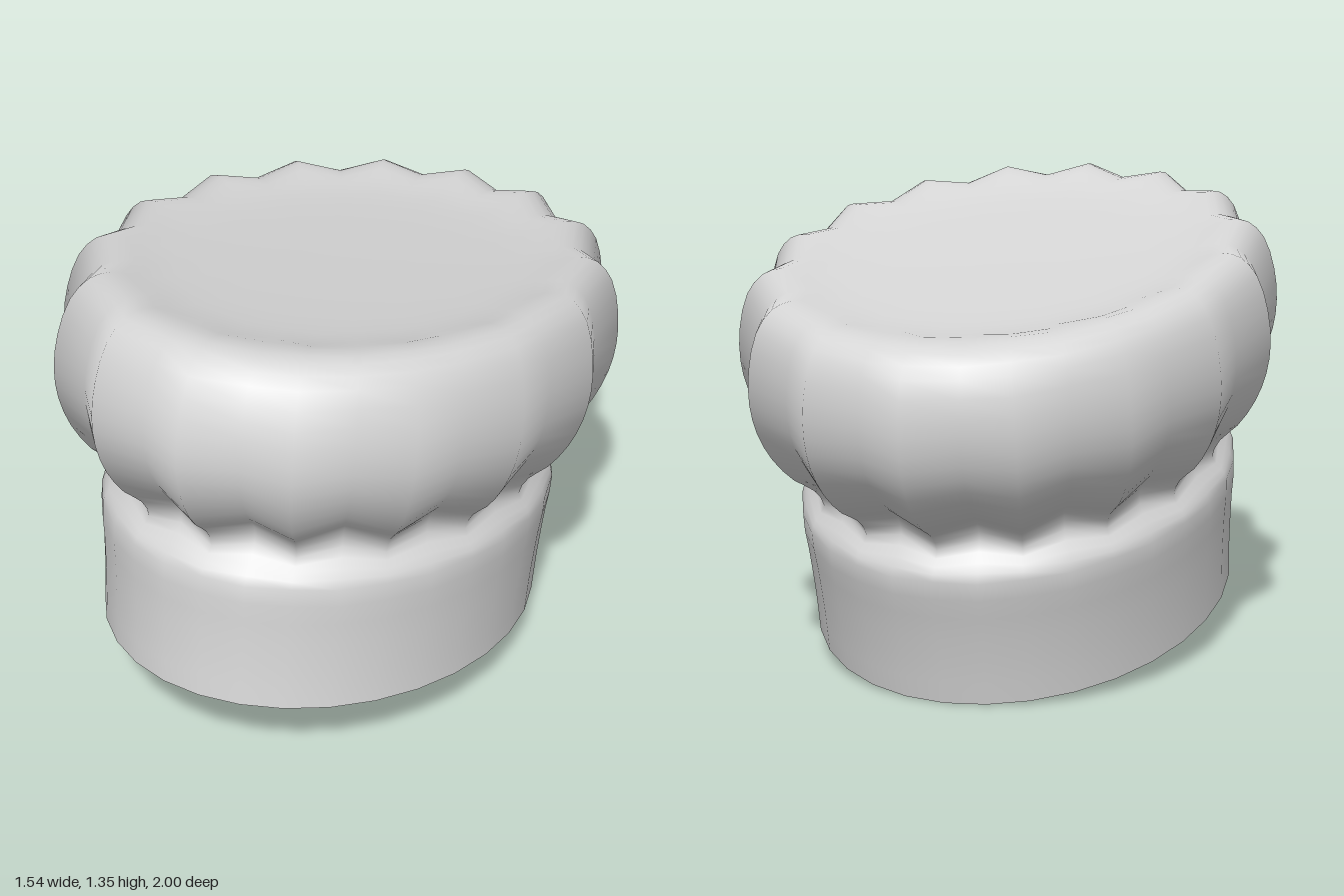
import * as THREE from 'three';

const FLUTES = 16;
const SEGMENTS = FLUTES * 2;
const WIDTH = 0.764; // sideways squash of the oval plan
const TILT = -0.1693;

// Profiles as [radius, height]: along the flute crests and along the grooves between them
const CREST = [
  [0.80, 0], [0.805, 0.13], [0.817, 0.27], [0.828, 0.385], [0.808, 0.42], [0.774, 0.455],
  [0.806, 0.51], [0.875, 0.56], [0.945, 0.64], [0.99, 0.73], [1.007, 0.82], [0.998, 0.92],
  [0.96, 1.02], [0.90, 1.073], [0.83, 1.085], [0.74, 1.066], [0.62, 1.048], [0.42, 1.04], [0.2, 1.037], [0, 1.036],
];
const GROOVE = [
  [0.80, 0], [0.805, 0.13], [0.817, 0.27], [0.826, 0.38], [0.796, 0.43], [0.756, 0.48],
  [0.768, 0.535], [0.825, 0.585], [0.885, 0.65], [0.93, 0.73], [0.946, 0.82], [0.938, 0.91],
  [0.905, 1.0], [0.85, 1.05], [0.78, 1.062], [0.70, 1.055], [0.60, 1.046], [0.42, 1.04], [0.2, 1.037], [0, 1.036],
];

// Smooth a profile, with the same number of samples between each pair of points
function smoothProfile(points, steps) {
  const curve = new THREE.CatmullRomCurve3(points.map(([r, h]) => new THREE.Vector3(r, h, 0)));
  const count = (points.length - 1) * steps;
  return Array.from({ length: count + 1 }, (_, i) => curve.getPoint(i / count));
}

// Loft rings whose vertices alternate between crest and groove
function flutedShell() {
  const profiles = [smoothProfile(CREST, 2), smoothProfile(GROOVE, 2)];
  const rings = profiles[0].length - 1; // the last sample is the single centre vertex
  const positions = [];
  const index = [];
  for (let i = 0; i < rings; i++) {
    for (let j = 0; j < SEGMENTS; j++) {
      const a = (j / SEGMENTS) * Math.PI * 2;
      const p = profiles[j % 2][i];
      positions.push(Math.sin(a) * p.x * WIDTH, p.y, Math.cos(a) * p.x);
    }
  }
  positions.push(0, profiles[0][rings].y, 0);
  const centre = rings * SEGMENTS;
  for (let i = 0; i < rings; i++) {
    for (let j = 0; j < SEGMENTS; j++) {
      const k = (j + 1) % SEGMENTS;
      const a = i * SEGMENTS + j;
      const b = i * SEGMENTS + k;
      if (i === rings - 1) index.push(a, b, centre);
      else index.push(a, b, a + SEGMENTS, b, b + SEGMENTS, a + SEGMENTS);
    }
  }
  const geometry = new THREE.BufferGeometry();
  geometry.setAttribute('position', new THREE.Float32BufferAttribute(positions, 3));
  geometry.setIndex(index);
  geometry.computeVertexNormals();
  return geometry;
}

export function createModel() {
  const group = new THREE.Group();
  group.name = 'puffyHat';
  const cloth = new THREE.MeshStandardMaterial({ color: 0xd6d6d6, side: THREE.DoubleSide });
  cloth.name = 'pale grey cloth';

  // Open headband flowing into the fluted crown, leaning back
  const hat = new THREE.Mesh(flutedShell(), cloth);
  hat.name = 'headbandAndCrown';
  hat.rotation.x = TILT;
  hat.position.set(0, 0.135, 0.13);
  group.add(hat);
  return group;
}
